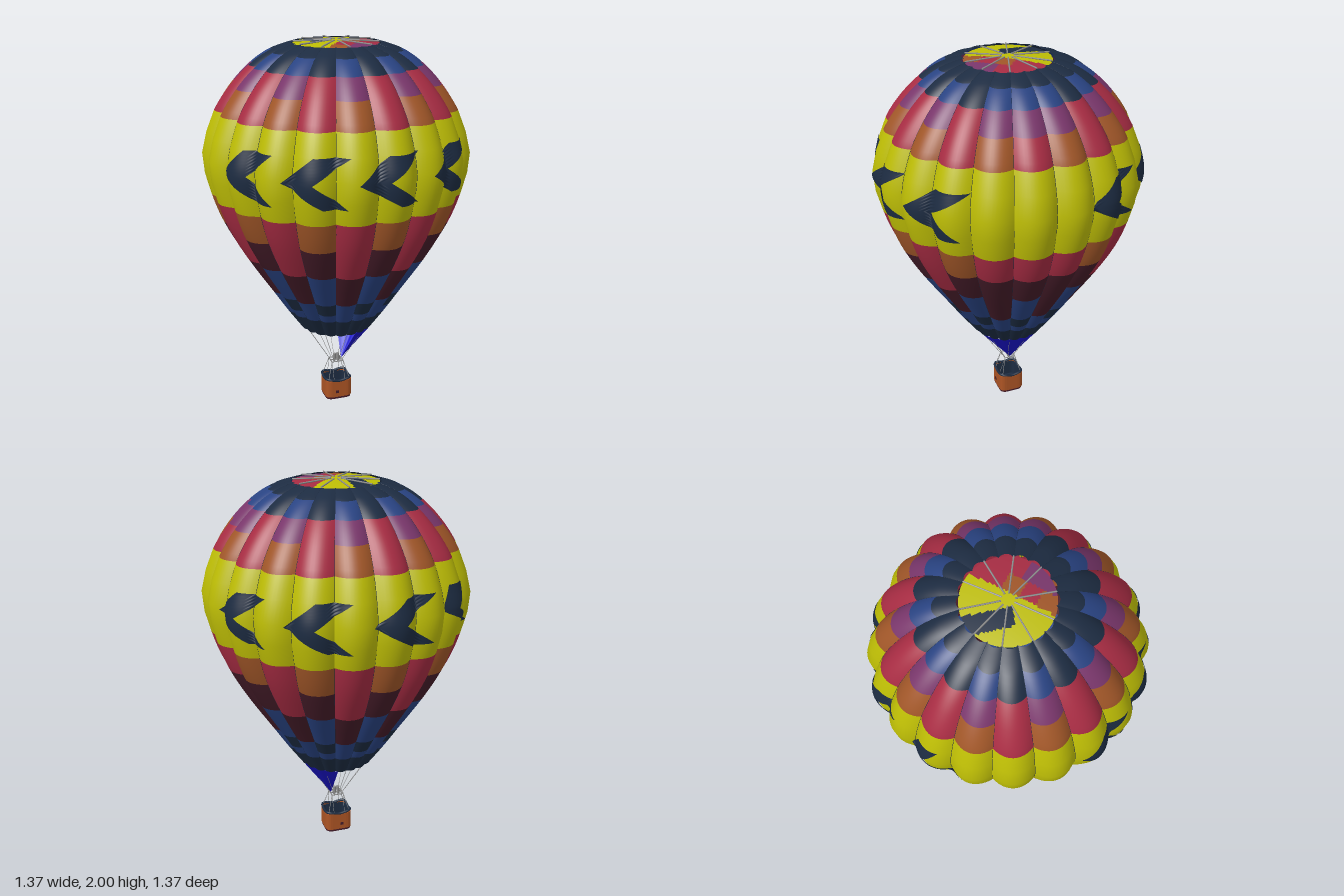
import * as THREE from 'three';
import { mergeGeometries } from 'three/addons/utils/BufferGeometryUtils.js';

const GORES = 20, STEP = (Math.PI * 2) / GORES, DEG = Math.PI / 180;

const mat = (name, color) => {
  const m = new THREE.MeshStandardMaterial({ color, side: THREE.DoubleSide });
  m.name = name;
  return m;
};

// Silhouette of the envelope as (radius, height)
const outline = new THREE.SplineCurve([
  [0.195, 0.45], [0.28, 0.57], [0.365, 0.7], [0.495, 0.9], [0.588, 1.07], [0.643, 1.22], [0.683, 1.4],
  [0.662, 1.53], [0.613, 1.66], [0.532, 1.78], [0.435, 1.88], [0.335, 1.948], [0.225, 1.985],
].map(([r, y]) => new THREE.Vector2(r, y))).getPoints(120);

function radiusAt(y) {
  let i = 1;
  while (i < outline.length - 1 && outline[i].y < y) i++;
  const a = outline[i - 1], b = outline[i];
  return THREE.MathUtils.lerp(a.x, b.x, THREE.MathUtils.clamp((y - a.y) / (b.y - a.y), 0, 1));
}

// Point on the scalloped envelope; angle runs from +z towards +x
function surface(angle, y, offset = 0) {
  const t = ((angle / STEP) % 1 + 1) % 1;
  const r = radiusAt(y) * (0.945 + 0.067 * (1 - (2 * t - 1) ** 2)) + offset;
  return new THREE.Vector3(Math.sin(angle) * r, y, Math.cos(angle) * r);
}

// Grid of points turned into a smooth sheet; groupOf(row, column) picks a material index
function sheet(cols, rows, point, groupOf = () => 0) {
  const pos = [], buckets = [], g = new THREE.BufferGeometry();
  for (let j = 0; j <= rows; j++)
    for (let i = 0; i <= cols; i++) pos.push(...point(i / cols, j).toArray());
  for (let j = 0; j < rows; j++)
    for (let i = 0; i < cols; i++) {
      const a = j * (cols + 1) + i, d = a + cols + 1;
      (buckets[groupOf(j, i)] ??= []).push(a, a + 1, d + 1, a, d + 1, d);
    }
  let start = 0;
  buckets.forEach((b, m) => {
    g.addGroup(start, b.length, m);
    start += b.length;
  });
  g.setAttribute('position', new THREE.Float32BufferAttribute(pos, 3));
  g.setIndex(buckets.flat());
  g.computeVertexNormals();
  return g;
}

// Thin straight rod between two points
function rod(a, b, r) {
  const dir = b.clone().sub(a);
  const g = new THREE.CylinderGeometry(r, r, dir.length(), 6);
  g.applyQuaternion(new THREE.Quaternion().setFromUnitVectors(new THREE.Vector3(0, 1, 0), dir.normalize()));
  const m = a.clone().add(b).multiplyScalar(0.5);
  return g.translate(m.x, m.y, m.z);
}

function roundedRect(w, d, r, Type = THREE.Shape) {
  const s = new Type(), x = w / 2, y = d / 2;
  s.moveTo(-x + r, -y);
  s.lineTo(x - r, -y); s.quadraticCurveTo(x, -y, x, -y + r);
  s.lineTo(x, y - r); s.quadraticCurveTo(x, y, x - r, y);
  s.lineTo(-x + r, y); s.quadraticCurveTo(-x, y, -x, y - r);
  s.lineTo(-x, -y + r); s.quadraticCurveTo(-x, -y, -x + r, -y);
  return s;
}

export function createModel() {
  const root = new THREE.Group();
  root.name = 'hotAirBalloon';
  const navy = mat('navy', 0x1d2c42), blue = mat('blue', 0x294382), yellow = mat('yellow', 0xbebe05);
  const crimson = mat('crimson', 0xa72c43), orange = mat('orange', 0xa05628), purple = mat('purple', 0x79366b);
  const maroon = mat('maroon', 0x451c29), scoopBlue = mat('scoopBlue', 0x1a14cc);
  const wicker = mat('wicker', 0xac5424), steel = mat('steel', 0x909090);
  const add = (name, geometry, material, parent = root) => {
    const m = new THREE.Mesh(geometry, material);
    m.name = name;
    parent.add(m);
    return m;
  };
  const V = (x, y, z) => new THREE.Vector3(x, y, z);

  // Envelope bands: bottom, top, even gore colour, odd gore colour
  const bands = [
    [0.45, 0.57, navy, navy], [0.57, 0.62, blue, blue], [0.62, 0.7, navy, blue],
    [0.7, 0.9, blue, maroon], [0.9, 1.07, maroon, crimson], [1.07, 1.225, orange, crimson],
    [1.225, 1.66, yellow, yellow], [1.66, 1.785, crimson, orange], [1.785, 1.88, crimson, purple],
    [1.88, 1.948, navy, blue], [1.948, 1.985, navy, navy],
  ];
  const SUB = 4;
  const rowY = (j) => {
    const b = bands[Math.min(Math.floor(j / SUB), bands.length - 1)];
    return j === bands.length * SUB ? b[1] : b[0] + (b[1] - b[0]) * (j % SUB) / SUB;
  };
  const envelope = new THREE.Group();
  envelope.name = 'envelope';
  root.add(envelope);
  for (let k = 0; k < GORES; k++) {
    const mats = bands.map((b) => b[2 + (k % 2)]);
    // Above the scoop the same colours run across neighbouring gores
    if (k === 4) { mats[8] = purple; mats[9] = blue; mats[5] = crimson; }
    if (k === 3 || k === 5) mats[4] = maroon;
    const g = sheet(12, bands.length * SUB, (u, j) => surface((k + u) * STEP, rowY(j)), (j) => Math.floor(j / SUB));
    add('gore', g, mats, envelope);
  }

  // Fine seam tapes in the valleys between gores
  const seams = [];
  for (let k = 0; k < GORES; k++) {
    const pts = [];
    for (let j = 0; j <= bands.length * SUB; j += 2) pts.push(surface(k * STEP, rowY(j)));
    seams.push(new THREE.TubeGeometry(new THREE.CatmullRomCurve3(pts), 40, 0.001, 4));
  }
  add('seamTapes', mergeGeometries(seams), navy, envelope);

  // Chevrons on front and back: apex angle, upper and lower arm reach, notch depth, in degrees
  const chevrons = [
    [-70, 26, 26, 13], [-40, 28, 27, 13], [-9, 28, 28, 13], [24, 30, 26, 13],
    [105.5, 28, 28, 13], [141.5, 28, 28, 13], [178, 29, 28, 13], [215, 14, 25, 8],
  ];
  for (const [apex, upper, lower, notch] of chevrons) {
    const g = sheet(40, 16, (u, j) => {
      const v = -1 + j / 8, a = Math.abs(v), reach = v > 0 ? upper : lower;
      const left = a * (reach - notch + (v > 0 ? -2 : 3)), right = notch + (reach - notch) * a;
      return surface((apex + left + (right - left) * u) * DEG, 1.43 + v * 0.122, 0.003);
    });
    add('chevron', g, navy, envelope);
  }

  // Vent cap closing the crown, in a skewed patchwork
  const cap = new THREE.Group();
  cap.name = 'ventCap';
  root.add(cap);
  const capPoint = (a, t) => V(Math.sin(a) * 0.218 * t, 1.994 - 0.014 * t * t, Math.cos(a) * 0.218 * t);
  const patch = (x, z) => {
    const s = 0.77 * x + 0.64 * z, t = 0.77 * z - 0.64 * x;
    if (x > -0.125 && x < -0.035 && z < 0.01) return 0;
    if (s < 0.035) return 1;
    if (s > 0.12 && t > 0) return 2;
    return s < 0.12 && (t > 0.115 || Math.abs(t + 0.01) < 0.045) ? 3 : 4;
  };
  const capGrid = sheet(80, 20, (u, j) => capPoint(u * Math.PI * 2, 1 - j / 20), (j, i) => {
    const p = capPoint((i + 0.5) / 80 * Math.PI * 2, 1 - (j + 0.5) / 20);
    return patch(p.x, p.z);
  });
  add('capPanel', capGrid, [navy, yellow, purple, orange, crimson], cap);
  const capLines = [];
  for (let k = 0; k < 10; k++) {
    const a = k * 2 * STEP, p = capPoint(a, 0.14), q = capPoint(a, 1);
    capLines.push(rod(p.setY(1.996), q.setY(1.989), 0.004));
  }
  add('capLines', mergeGeometries(capLines), steel, cap);

  // Scoop hanging from the rim on one side, tapering to a point
  const tip = V(0.03, 0.22, 0);
  add('scoop', sheet(24, 6, (u, j) => {
    const p = surface((14 + 152 * u) * DEG, 0.452);
    return tip.clone().lerp(p, 0.01 + 0.99 * j / 6);
  }), scoopBlue);

  // Suspension lines from rim to burner frame, then down to the basket
  const FY = 0.215, lines = [];
  for (let k = 0; k < 10; k++) {
    const a = k * 2 * STEP;
    lines.push(rod(surface(a, 0.455), V(Math.sin(a) * 0.033, FY, Math.cos(a) * 0.033), 0.0013));
  }
  for (const sx of [-1, 1]) for (const sz of [-1, 1]) {
    lines.push(rod(V(sx * 0.033, FY, sz * 0.03), V(sx * 0.06, 0.115, sz * 0.054), 0.0016));
    lines.push(rod(V(sx * 0.033, FY, sz * 0.03), V(sx * 0.03, 0.115, sz * 0.062), 0.0013));
  }
  add('suspensionLines', mergeGeometries(lines), steel);

  // Burner: square frame with twin cans
  const burner = [];
  for (const s of [-1, 1]) {
    burner.push(rod(V(-0.034, FY, s * 0.03), V(0.034, FY, s * 0.03), 0.003));
    burner.push(rod(V(s * 0.033, FY, -0.03), V(s * 0.033, FY, 0.03), 0.003));
    burner.push(new THREE.CylinderGeometry(0.009, 0.008, 0.045, 12).translate(s * 0.01, 0.23, 0));
  }
  burner.push(rod(V(-0.034, FY, 0), V(0.034, FY, 0), 0.003));
  add('burner', mergeGeometries(burner), steel);

  // Basket: hollow wicker walls, dark lining, floor, padded rim and base trim
  const basket = new THREE.Group();
  basket.name = 'basket';
  root.add(basket);
  const upright = (shape, depth, y) =>
    new THREE.ExtrudeGeometry(shape, { depth, bevelEnabled: false, curveSegments: 6 }).rotateX(-Math.PI / 2).translate(0, y, 0);
  const ring = (w, d, r, t) => {
    const s = roundedRect(w, d, r);
    s.holes.push(roundedRect(w - 2 * t, d - 2 * t, r - t, THREE.Path));
    return s;
  };
  add('basketWalls', upright(ring(0.15, 0.138, 0.036, 0.008), 0.098, 0.012), wicker, basket);
  add('basketLining', upright(ring(0.134, 0.122, 0.028, 0.003), 0.09, 0.016), navy, basket);
  add('basketFloor', upright(roundedRect(0.134, 0.122, 0.028), 0.012, 0.008), navy, basket);
  add('baseTrim', upright(roundedRect(0.144, 0.132, 0.036), 0.012, 0), maroon, basket);
  const rimPts = roundedRect(0.14, 0.128, 0.032).getSpacedPoints(32).slice(0, 32).map((p) => {
    const corner = Math.abs(p.x * p.y) / (0.07 * 0.064);
    return V(p.x, 0.109 + 0.014 * corner, p.y);
  });
  add('paddedRim', new THREE.TubeGeometry(new THREE.CatmullRomCurve3(rimPts, true), 64, 0.007, 8, true), navy, basket);

  // Foot holes on front and back walls
  for (const s of [-1, 1])
    add('footHole', new THREE.BoxGeometry(0.018, 0.016, 0.004).translate(-0.014, 0.045, s * 0.069), maroon, basket);
  return root;
}
